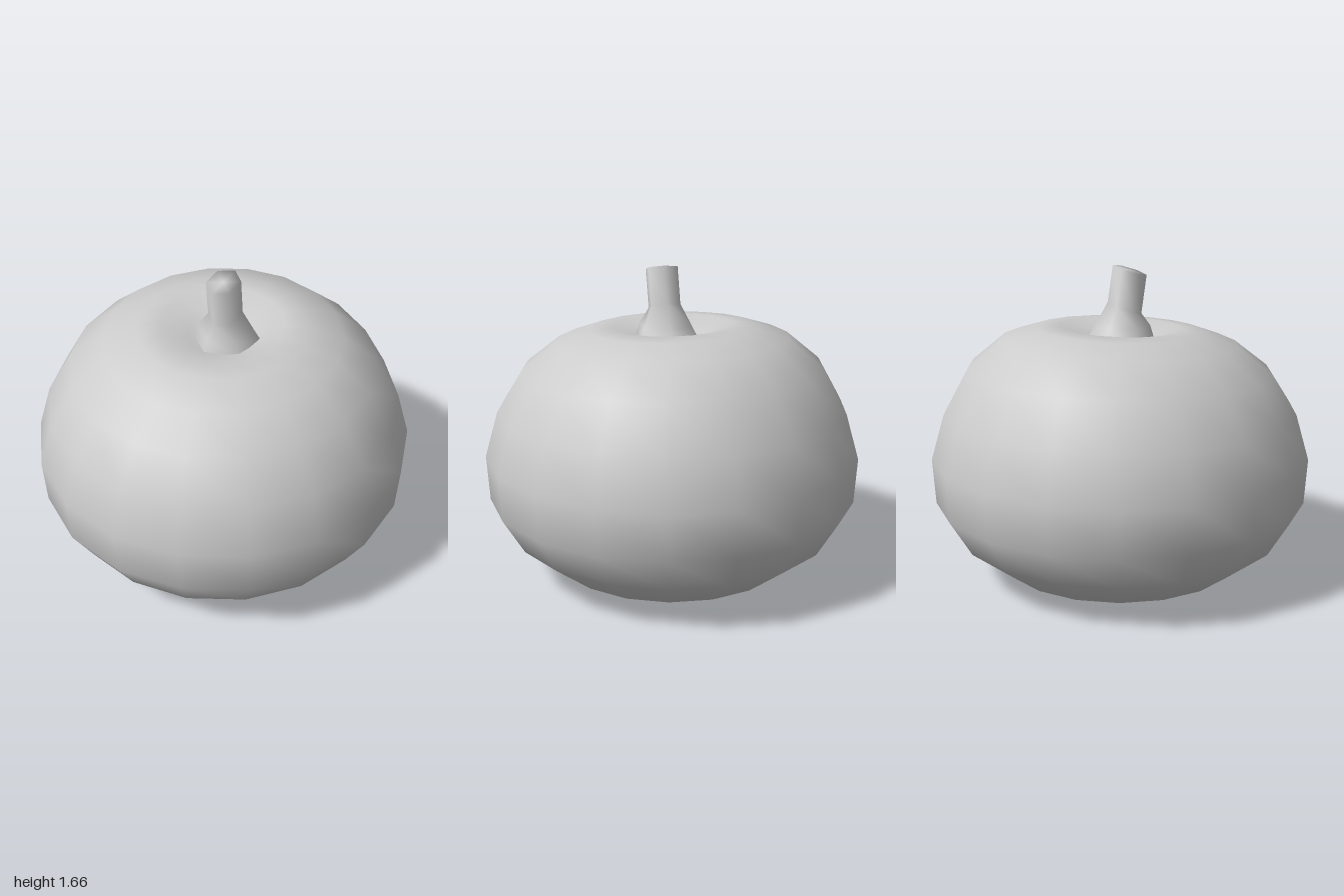
import * as THREE from 'three';
import { mergeVertices } from 'three/addons/utils/BufferGeometryUtils.js';

const material = new THREE.MeshStandardMaterial({ color: 0xcccccc });

// Lathe a profile of [radius, height], move each vertex by a rule, then smooth it.
function turned(name, profile, sides, phase, move) {
  let geo = new THREE.LatheGeometry(profile.map(([r, y]) => new THREE.Vector2(r, y)), sides, phase);
  const pos = geo.attributes.position;
  const v = new THREE.Vector3();
  for (let i = 0; i < pos.count; i++) {
    v.fromBufferAttribute(pos, i);
    move(v, i % profile.length);
    pos.setXYZ(i, v.x, v.y, v.z);
  }
  geo.deleteAttribute('uv');
  geo.deleteAttribute('normal');
  geo = mergeVertices(geo, 1e-4);
  geo.computeVertexNormals();
  const mesh = new THREE.Mesh(geo, material);
  mesh.name = name;
  return mesh;
}

export function createModel() {
  const group = new THREE.Group();
  group.name = 'pumpkin';

  // Squashed round body with a shallow dimple on top, slightly uneven
  const bodyProfile = [
    [0, 0], [0.3, 0.008], [0.64, 0.065], [0.87, 0.24], [0.985, 0.43], [1, 0.67], [0.93, 0.91],
    [0.8, 1.13], [0.62, 1.275], [0.44, 1.335], [0.32, 1.345], [0.18, 1.285], [0, 1.265],
  ];
  group.add(turned('body', bodyProfile, 18, -0.03, (v) => {
    const k = THREE.MathUtils.smoothstep(v.y, 0.9, 1.3);
    v.y += k * (0.035 * v.x - 0.02 * v.z);
    v.z = v.z * 0.99 - 0.005;
  }));

  // Six-sided stem: flared foot, leaning neck, slanted closed tip
  const stemProfile = [[0.185, 1.26], [0.145, 1.345], [0.088, 1.44], [0.088, 1.635], [0, 1.635]];
  const lean = [[0, 0.02, 0], [-0.015, 0.025, 0], [-0.025, 0.03, 0.35], [-0.052, 0.04, 0.3], [-0.052, 0.04, 0.3]];
  group.add(turned('stem', stemProfile, 6, Math.PI / 6, (v, ring) => {
    const [dx, dz, slant] = lean[ring];
    v.y += v.x * slant;
    v.x += dx;
    v.z += dz;
  }));

  return group;
}
